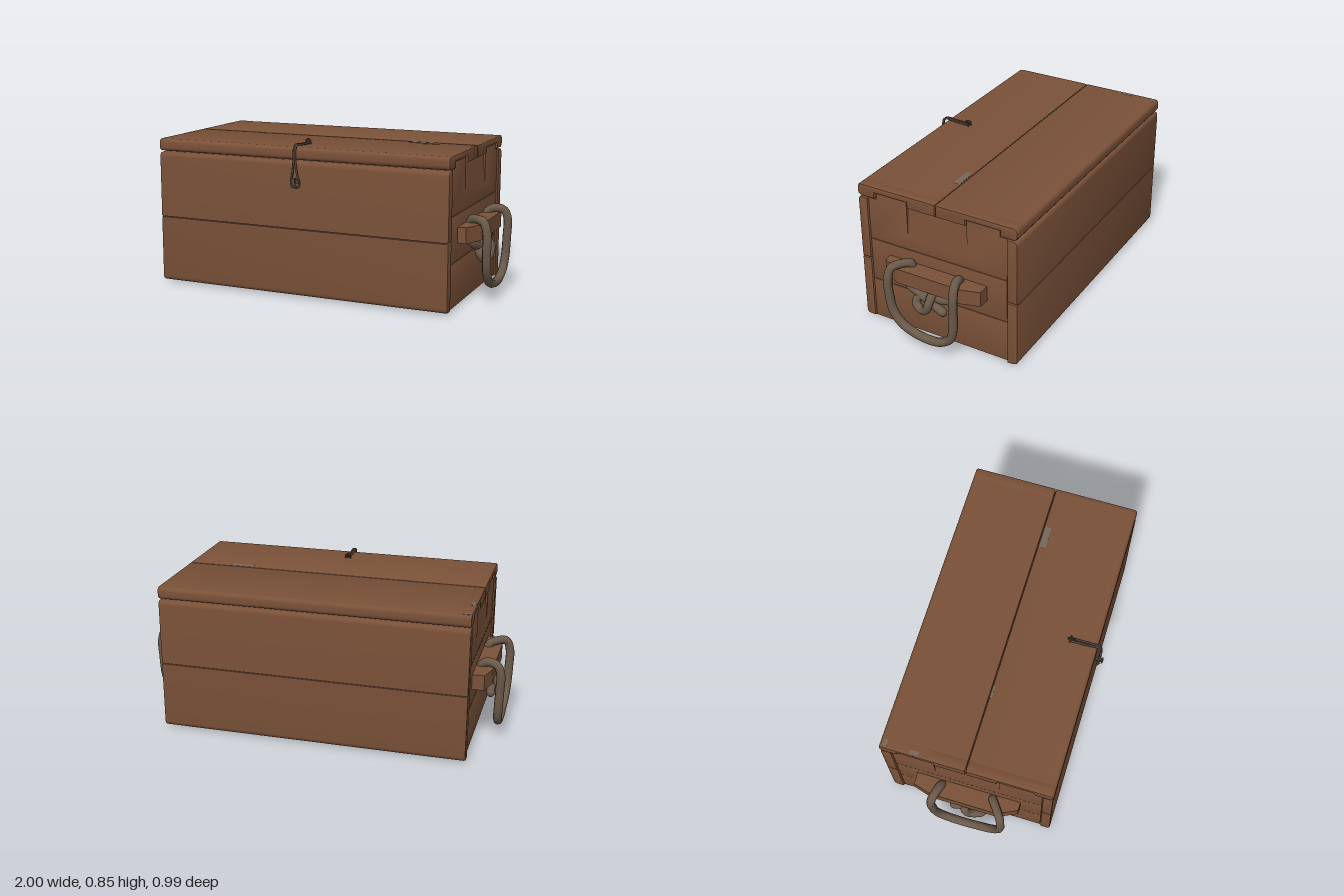
import * as THREE from 'three';
import { toCreasedNormals } from 'three/addons/utils/BufferGeometryUtils.js';

const mat = (name, color) => {
  const m = new THREE.MeshStandardMaterial({ color });
  m.name = name;
  return m;
};

// Polygon whose corners [x, y, radius] may be rounded
function profile(pts) {
  const s = new THREE.Shape();
  pts.forEach(([x, y, r = 0], i) => {
    const n = pts.length, p = pts[(i + n - 1) % n], q = pts[(i + 1) % n];
    const toward = ([a, b]) => {
      const d = Math.hypot(a - x, b - y);
      return [x + (a - x) * r / d, y + (b - y) * r / d];
    };
    const a = toward(p), b = toward(q);
    if (i === 0) s.moveTo(...a); else s.lineTo(...a);
    if (r > 0) s.quadraticCurveTo(x, y, ...b);
  });
  s.closePath();
  return s;
}

// Board with a (z, y) outline, running from x0 to x1
function board(pts, x0, x1, bevel = 0) {
  const len = x1 - x0;
  const g = new THREE.ExtrudeGeometry(profile(pts), {
    depth: len - 2 * bevel, curveSegments: 4, bevelEnabled: bevel > 0,
    bevelThickness: bevel, bevelSize: bevel, bevelOffset: -bevel, bevelSegments: 2,
  });
  g.translate(0, 0, bevel - len / 2);
  g.rotateY(-Math.PI / 2);
  g.translate((x0 + x1) / 2, 0, 0);
  return toCreasedNormals(g, 0.7);
}

function tube(pts, radius, segments, sides) {
  const c = new THREE.CatmullRomCurve3(pts.map((p) => new THREE.Vector3(...p)));
  return new THREE.TubeGeometry(c, segments, radius, sides, false);
}

export function createModel() {
  const model = new THREE.Group();
  model.name = 'chest';
  const wood = mat('brown wood', 0x7a5138);
  const rope = mat('rope', 0x6b5a4a);
  const metal = mat('dark metal', 0x54473c);
  const worn = mat('worn wood', 0x75685a);
  const add = (name, geometry, material, parent = model) => {
    const m = new THREE.Mesh(geometry, material);
    m.name = name;
    parent.add(m);
    return m;
  };
  const box = (w, h, d, x, y, z) => new THREE.BoxGeometry(w, h, d).translate(x, y, z);

  // Front and back walls, two planks each
  const R = 0.026;
  add('frontLowerPlank', board([[0.395, 0.008], [0.452, 0.008, R], [0.452, 0.375], [0.395, 0.375]], -0.85, 0.85, 0.01), wood);
  add('frontUpperPlank', board([[0.395, 0.379], [0.452, 0.379], [0.452, 0.743, R], [0.395, 0.743]], -0.85, 0.85, 0.01), wood);
  add('backLowerPlank', board([[-0.43, 0], [-0.49, 0.004, R], [-0.49, 0.375], [-0.43, 0.375]], -0.85, 0.85, 0.01), wood);
  add('backUpperPlank', board([[-0.43, 0.379], [-0.49, 0.379], [-0.49, 0.743, R], [-0.43, 0.743]], -0.85, 0.85, 0.01), wood);

  // Floor
  add('floor', box(1.64, 0.03, 0.84, 0, 0.03, -0.018), wood);

  // Lid: two long planks with notched ends that fit over the side tabs
  const lidPlanks = [
    { name: 'lidFront', a: -0.018, b: 0.452, n0: 0.15, n1: 0.35 },
    { name: 'lidBack', a: -0.022, b: -0.49, n0: -0.195, n1: -0.395 },
  ];
  for (const { name, a, b, n0, n1 } of lidPlanks) {
    const top = [[b, 0.75, 0.024], [b, 0.818, 0.024], [a, 0.818, 0.004], [a, 0.75]];
    add(name + 'Plank', board(top, -0.83, 0.83), wood);
    const notched = [...top, [n0, 0.75], [n0, 0.784], [n1, 0.784], [n1, 0.75]];
    add(name + 'EndRight', board(notched, -0.85, -0.78, 0.008), wood);
    add(name + 'EndLeft', board(notched, 0.78, 0.85, 0.008), wood);
  }

  // Worn patches on the lid
  for (const [x, z, w, d] of [[0.54, 0.005, 0.13, 0.035], [-0.4, -0.012, 0.07, 0.012], [-0.82, -0.46, 0.04, 0.02], [-0.83, -0.3, 0.025, 0.05]]) {
    add('wornPatch', box(w, 0.002, d, x, 0.818, z), worn);
  }

  for (const s of [1, -1]) {
    const side = new THREE.Group();
    side.name = s > 0 ? 'leftSide' : 'rightSide';
    model.add(side);
    const slab = (pts, inner, outer, b) => board(pts, Math.min(s * inner, s * outer), Math.max(s * inner, s * outer), b);

    // Side planks
    for (const [y0, y1] of [[0.01, 0.249], [0.251, 0.499]]) {
      add('sidePlank', slab([[0.393, y0], [0.393, y1], [-0.428, y1], [-0.428, y0]], 0.79, 0.84, 0.002), wood, side);
    }
    // Top plank with two tabs and a gap between them
    add('sideTopPlank', slab([
      [0.393, 0.501], [0.393, 0.745], [0.345, 0.745], [0.345, 0.78], [0.157, 0.78], [0.157, 0.585],
      [-0.198, 0.585], [-0.198, 0.78], [-0.39, 0.78], [-0.39, 0.745], [-0.428, 0.745], [-0.428, 0.501],
    ], 0.79, 0.84, 0.002), wood, side);
    // Panel leaning inward in the gap
    const panel = add('gapPanel', box(0.03, 0.165, 0.355, -s * 0.015, 0.0825, -0.0205), wood, side);
    panel.position.set(s * 0.84, 0.582, 0);
    panel.rotation.z = s * 0.08;

    // Handle batten with chamfered ends
    const bar = new THREE.ExtrudeGeometry(profile([
      [s * 0.835, 0.275], [s * 0.885, 0.275], [s * 0.935, 0.17], [s * 0.935, -0.21], [s * 0.905, -0.312], [s * 0.835, -0.312],
    ]), { depth: 0.085, bevelEnabled: false });
    bar.rotateX(Math.PI / 2).translate(0, 0.43, 0);
    add('handleBatten', bar, wood, side);

    // Rope: tail, knot strand, behind the batten, hanging loop, back into the knot
    const path = [
      [0.915, 0.24, -0.09], [0.905, 0.262, -0.02], [0.89, 0.29, 0.06], [0.88, 0.325, 0.14], [0.865, 0.385, 0.135],
      [0.865, 0.44, 0.125], [0.9, 0.454, 0.15], [0.955, 0.445, 0.19], [0.975, 0.39, 0.2], [0.975, 0.29, 0.197],
      [0.972, 0.19, 0.178], [0.968, 0.125, 0.13], [0.965, 0.09, 0.06], [0.965, 0.077, -0.02], [0.965, 0.085, -0.1],
      [0.967, 0.125, -0.16], [0.971, 0.19, -0.185], [0.975, 0.3, -0.192], [0.975, 0.4, -0.195], [0.955, 0.445, -0.19],
      [0.9, 0.455, -0.175], [0.865, 0.43, -0.165], [0.865, 0.37, -0.165], [0.88, 0.318, -0.15], [0.89, 0.295, -0.07],
      [0.885, 0.29, 0.01], [0.895, 0.27, 0.07], [0.91, 0.238, 0.075], [0.925, 0.216, 0.035], [0.935, 0.235, 0],
      [0.935, 0.28, -0.018], [0.905, 0.315, -0.02], [0.875, 0.31, -0.02],
    ].map(([x, y, z]) => [s * x, y, z]);
    add('ropeHandle', tube(path, 0.024, 150, 8), rope, side);
    for (const p of [path[0], path[path.length - 1]]) {
      add('ropeEnd', new THREE.SphereGeometry(0.024, 8, 6).translate(...p), rope, side);
    }
  }

  // Latch: staple on the lid, wire arm over the edge, teardrop loop and peg
  const latch = new THREE.Group();
  latch.name = 'latch';
  model.add(latch);
  add('latchStaple', tube([[-0.012, 0.812, 0.3], [-0.011, 0.84, 0.303], [0.011, 0.84, 0.303], [0.012, 0.812, 0.3]], 0.005, 16, 6), metal, latch);
  add('latchEye', tube([[0, 0.82, 0.325], [0, 0.843, 0.322], [0, 0.843, 0.292], [0, 0.824, 0.29]], 0.004, 16, 6), metal, latch);
  for (const s of [1, -1]) {
    add('latchWire', tube([
      [s * 0.008, 0.825, 0.3], [s * 0.007, 0.827, 0.38], [s * 0.005, 0.83, 0.455], [s * 0.004, 0.815, 0.47],
      [s * 0.006, 0.74, 0.475], [s * 0.014, 0.68, 0.473], [s * 0.024, 0.63, 0.468], [s * 0.02, 0.612, 0.467], [0, 0.608, 0.467],
    ], 0.006, 50, 6), metal, latch);
  }
  add('latchPegStem', box(0.016, 0.022, 0.05, 0, 0.64, 0.47), metal, latch);
  add('latchPegHead', box(0.022, 0.042, 0.008, 0, 0.64, 0.49), metal, latch);
  add('latchPegPlate', box(0.05, 0.02, 0.01, 0, 0.64, 0.475), metal, latch);

  return model;
}
